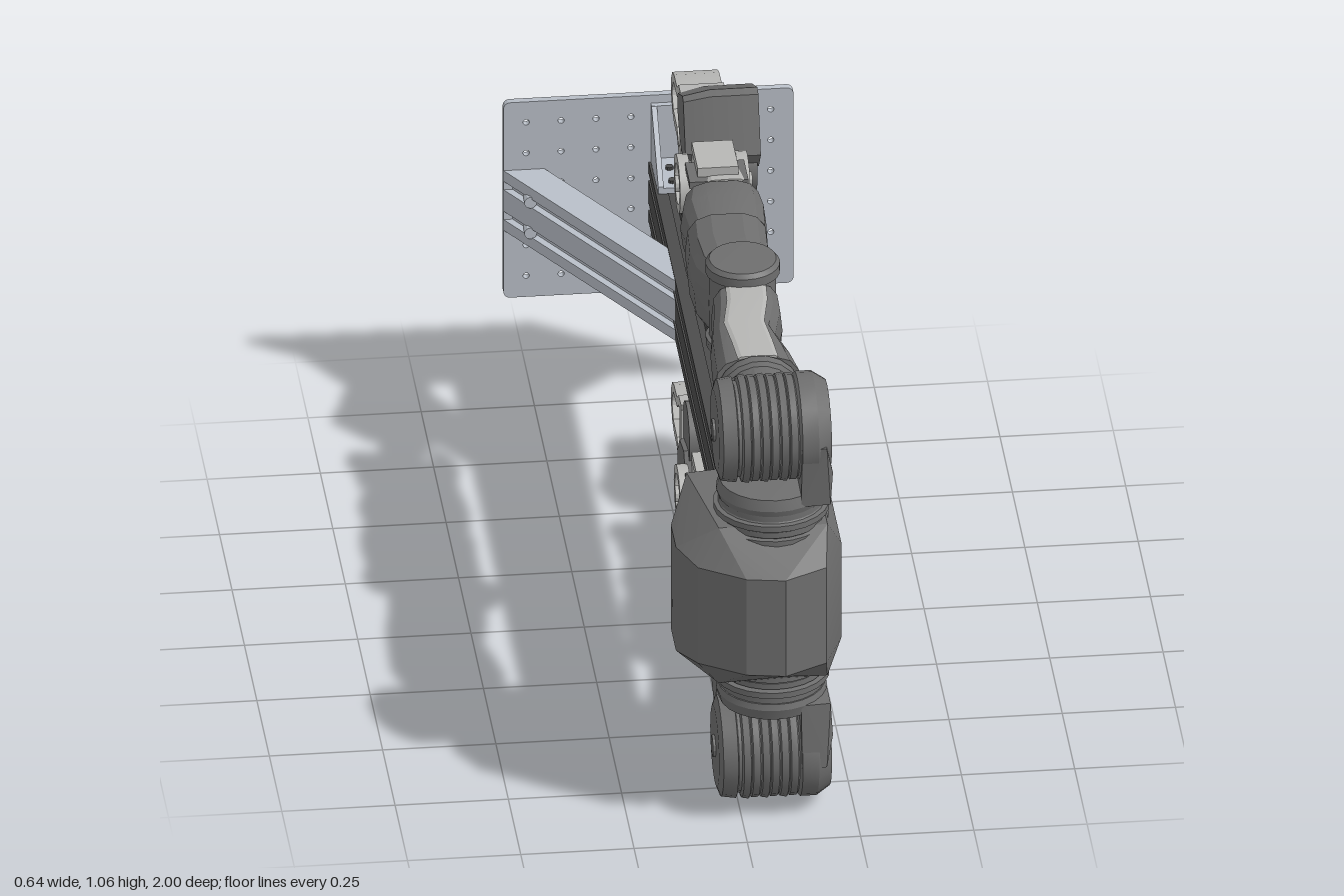
import * as THREE from 'three';
import { toCreasedNormals } from 'three/addons/utils/BufferGeometryUtils.js';
import { ConvexGeometry } from 'three/addons/geometries/ConvexGeometry.js';

const MID = 0.5325; // height of the mirror plane between the two arms
const mat = (name, color) => Object.assign(new THREE.MeshStandardMaterial({ color }), { name });

// Loft of rounded-square rings along z; sections are [z, cx, cy, rx, ry], z ascending
function loft(sections, n = 14, power = 0.65) {
  const pos = [], idx = [];
  const sq = (v) => Math.sign(v) * Math.abs(v) ** power;
  for (const [z, cx, cy, rx, ry] of sections)
    for (let j = 0; j < n; j++) {
      const a = (j / n) * Math.PI * 2;
      pos.push(cx + rx * sq(Math.cos(a)), cy + ry * sq(Math.sin(a)), z);
    }
  const last = sections.length - 1;
  for (let i = 0; i < last; i++)
    for (let j = 0; j < n; j++) {
      const a = i * n + j, b = i * n + ((j + 1) % n);
      idx.push(a, b, b + n, a, b + n, a + n);
    }
  for (let j = 1; j < n - 1; j++) {
    idx.push(0, j + 1, j);
    idx.push(last * n, last * n + j, last * n + j + 1);
  }
  const g = new THREE.BufferGeometry();
  g.setAttribute('position', new THREE.Float32BufferAttribute(pos, 3));
  g.setIndex(idx);
  return g;
}

const lathe = (pts, n = 24) => new THREE.LatheGeometry(pts.map((p) => new THREE.Vector2(...p)), n);
const box = (w, h, d, x, y, z) => new THREE.BoxGeometry(w, h, d).translate(x, y, z);
const polygon = (pts) => new THREE.Shape(pts.map((p) => new THREE.Vector2(...p)));
const extrude = (shape, depth) => new THREE.ExtrudeGeometry(shape, { depth, bevelEnabled: false, curveSegments: 10 });
const hull = (pts) => new ConvexGeometry(pts.map((p) => new THREE.Vector3(...p)));

// Adds a mesh; flip = true mirrors it in y and keeps its faces outward
function add(group, name, geometry, material, flip = false) {
  const g = geometry.index ? geometry.toNonIndexed() : geometry.clone();
  if (flip) {
    const p = g.attributes.position;
    for (let i = 0; i < p.count; i += 3) {
      const v = [0, 2, 1].map((k) => [p.getX(i + k), -p.getY(i + k), p.getZ(i + k)]);
      v.forEach((c, k) => p.setXYZ(i + k, ...c));
    }
  }
  const mesh = new THREE.Mesh(toCreasedNormals(g, 0.35), material);
  mesh.name = name;
  group.add(mesh);
  return mesh;
}

// Square beam profile with two slots on every side
function slottedSquare(h) {
  const pts = [];
  const side = [[-h, -h]];
  for (const c of [-h / 2, h / 2])
    side.push([c - 0.009, -h], [c - 0.009, -h + 0.024], [c + 0.009, -h + 0.024], [c + 0.009, -h]);
  for (let k = 0; k < 4; k++)
    for (const [x, y] of side) {
      const c = [1, 0, -1, 0][k], s = [0, 1, 0, -1][k];
      pts.push([x * c - y * s, x * s + y * c]);
    }
  return polygon(pts);
}

// One arm, drawn above the mirror plane; flip builds the lower one
function buildArm(flip, M) {
  const arm = new THREE.Group();
  arm.name = flip ? 'lowerArm' : 'upperArm';
  const put = (name, g, m = M.shell) => add(arm, name, g, m, flip);
  const Y = 0.39, X = 0.065;

  // ribbed neck
  const neck = [[0, 0.14]];
  [0.118, 0.126, 0.12, 0.128, 0.116].forEach((r, i) => {
    const y = 0.145 + i * 0.019;
    neck.push([r, y], [r, y + 0.014], [r - 0.01, y + 0.016]);
  });
  neck.push([0, 0.24]);
  put('neck', lathe(neck).translate(0.075, 0, 0.8));

  // shoulder drum lying across, with wrapped ribs in the middle
  const drum = [[0, -0.05], [0.09, -0.05], [0.112, -0.042], [0.117, -0.01], [0.106, -0.007], [0.106, 0]];
  for (let i = 0; i < 6; i++) drum.push([0.117, 0.003 + i * 0.021], [0.12 - 0.003 * (i % 2), 0.018 + i * 0.021], [0.113, 0.021 + i * 0.021]);
  drum.push([0.12, 0.132], [0.12, 0.168], [0.1, 0.198], [0.03, 0.203], [0, 0.203]);
  put('shoulder', lathe(drum).rotateZ(-Math.PI / 2).translate(0, 0.397, 0.8));
  const bracket = [];
  for (const z of [-1, 1])
    bracket.push([0.13, 0.25, 0.8 + z * 0.105], [0.195, 0.25, 0.8 + z * 0.1], [0.13, 0.4, 0.8 + z * 0.118],
      [0.185, 0.4, 0.8 + z * 0.118], [0.2, 0.33, 0.8 + z * 0.1]);
  put('shoulderBracket', hull(bracket));
  put('shoulderCollar', lathe([[0, 0.236], [0.118, 0.236], [0.122, 0.25], [0.115, 0.275], [0, 0.285]]).translate(0.075, 0, 0.8));
  put('shoulderHub', new THREE.CylinderGeometry(0.025, 0.025, 0.012, 12).rotateZ(Math.PI / 2).translate(-0.05, 0.397, 0.8));

  // upper arm with a pale strip on top
  put('armCollar', loft([[0.625, X, Y, 0.085, 0.085], [0.635, X, Y, 0.095, 0.095], [0.66, X, Y, 0.095, 0.095],
    [0.665, X, Y, 0.085, 0.085], [0.74, X, Y, 0.085, 0.09]], 18, 1));
  const upper = [[0.28, 0.075, Y, 0.075, 0.078], [0.36, 0.07, Y, 0.078, 0.083], [0.46, 0.052, Y, 0.074, 0.085],
    [0.55, 0.06, Y, 0.088, 0.086], [0.625, 0.065, Y, 0.096, 0.085]];
  put('upperArmShell', loft(upper));
  const top = flip ? -1 : 1;
  const strip = (rows, w) => loft(rows.map(([z, x, y, , ry]) => [z, x, y + top * (ry - 0.001), w, 0.005]), 8);
  put('upperArmStrip', strip(upper, 0.045), M.pale);

  // elbow: upright drum with caps, and its outgoing block
  put('elbow', lathe([[0, 0.28], [0.07, 0.28], [0.08, 0.287], [0.082, 0.31], [0.074, 0.314], [0.074, 0.465],
    [0.082, 0.47], [0.082, 0.492], [0.074, 0.502], [0, 0.505]]).translate(0.075, 0, 0.225));
  put('elbowBlock', loft([[-0.02, 0.065, Y, 0.082, 0.085], [-0.01, 0.065, Y, 0.092, 0.094], [0.08, 0.06, Y, 0.092, 0.097],
    [0.16, 0.062, Y, 0.088, 0.1], [0.22, 0.07, Y, 0.07, 0.1]]));

  // forearm
  const fore = [[-0.26, 0.08, Y, 0.05, 0.05], [-0.205, 0.08, Y, 0.064, 0.066], [-0.19, 0.075, Y, 0.085, 0.075],
    [-0.12, 0.07, Y, 0.095, 0.083], [-0.03, 0.07, Y, 0.088, 0.08]];
  put('forearm', loft(fore));
  put('forearmJoint', new THREE.CylinderGeometry(0.075, 0.075, 0.04, 18).rotateX(Math.PI / 2).translate(0.067, Y, -0.022));
  put('wristStrip', strip([[-0.34, 0.09, Y, 0, 0.056], [-0.2, 0.085, Y, 0, 0.068]], 0.04), M.pale);

  // open wrist rings, yoke tabs and drive rod
  for (const x of [-0.01, 0.12]) {
    const ring = lathe([[0.046, 0], [0.066, 0], [0.066, 0.025], [0.046, 0.025], [0.046, 0]]);
    put('wristRing', ring.rotateZ(-Math.PI / 2).translate(x, Y, -0.32), M.pale);
  }
  for (const s of [-1, 1]) {
    put('yokeTab', box(0.09, 0.022, 0.12, 0.07, Y + s * 0.078, -0.285), M.pale);
    put('yokeSide', box(0.13, 0.016, 0.09, 0.07, Y + s * 0.058, -0.25));
  }
  put('wristRod', box(0.07, 0.034, 0.17, 0.07, Y, -0.355), M.pale);
  put('wristPin', new THREE.CylinderGeometry(0.018, 0.018, 0.17, 12).rotateZ(Math.PI / 2).translate(0.07, Y, -0.32), M.pale);

  // hand: motor disc and a tilted housing
  put('handMotor', new THREE.CylinderGeometry(0.07, 0.07, 0.15, 20).rotateZ(Math.PI / 2).translate(0.105, 0.338, -0.5));
  const hand = [];
  for (const [x, k] of [[0.02, 0.85], [0.08, 1], [0.185, 1]])
    for (const [z, y] of [[-0.41, 0.4], [-0.46, 0.525], [-0.48, 0.532], [-0.59, 0.48], [-0.6, 0.43], [-0.55, 0.37], [-0.45, 0.35]])
      hand.push([x, 0.43 + (y - 0.43) * k, -0.51 + (z + 0.51) * k]);
  put('handHousing', hull(hand));

  // gripper: two fingers closing in a rounded loop
  const half = [[-0.56, 0.088], [-0.61, 0.085], [-0.64, 0.062], [-0.7, 0.06], [-0.735, 0.048], [-0.755, 0.024]];
  const loop = [...half.map(([z, y]) => [-z, y]), [0.76, 0], ...half.map(([z, y]) => [-z, -y]).reverse()];
  const inner = half.map(([z, y]) => [-z - (y < 0.05 ? 0.02 : 0), y - (y < 0.05 ? 0.014 : 0.024)]);
  const finger = polygon([...loop, ...inner.map(([z, y]) => [z, -y]), [0.738, 0], ...inner.slice().reverse()]);
  put('gripper', extrude(finger, 0.1).rotateY(Math.PI / 2).translate(0.025, Y, 0), M.pale);
  put('gripperBase', box(0.1, 0.15, 0.03, 0.075, Y, -0.572), M.pale);
  arm.position.y = MID;
  return arm;
}

export function createModel() {
  const model = new THREE.Group();
  model.name = 'twoArmRobot';
  const M = {
    shell: mat('dark grey shell', 0x6e6e6e),
    beam: mat('charcoal beam', 0x4c4c4c),
    steel: mat('blue grey metal', 0xb9bfc8),
    pale: mat('pale grey', 0xb6b6b4),
  };

  // perforated wall plate with rounded corners
  const w = 0.32, h = 0.245, r = 0.015;
  const plate = new THREE.Shape();
  plate.moveTo(-w + r, -h);
  for (const [sx, sy, a] of [[1, -1, -0.5], [1, 1, 0], [-1, 1, 0.5], [-1, -1, 1]])
    plate.absarc(sx * (w - r), sy * (h - r), r, a * Math.PI, (a + 0.5) * Math.PI);
  for (let i = 0; i < 8; i++)
    for (let j = 0; j < 6; j++)
      plate.holes.push(new THREE.Path().absarc(-0.27 + i * 0.0771, -0.192 + j * 0.0771, 0.007, 0, Math.PI * 2, true));
  add(model, 'wallPlate', extrude(plate, 0.017).translate(0, 0.53, -1), M.steel);

  // slotted main beam
  add(model, 'mainBeam', extrude(slottedSquare(0.075), 1.66).translate(0.075, MID, -0.983), M.beam);

  // slanted side brace: three solid layers around a thinner core
  const brace = (inset) => polygon([[-0.32 + inset, 0.983], [0, 0.45 + inset * 1.6], [0, 0.6 - inset * 1.6], [-0.23 - inset, 0.983]]);
  for (const [y, d, inset] of [[0.455, 0.027, 0], [0.503, 0.054, 0], [0.578, 0.027, 0], [0.46, 0.14, 0.02]])
    add(model, 'sideBrace', extrude(brace(inset), d).rotateX(-Math.PI / 2).translate(0, y, 0), M.steel);
  for (const y of [0.493, 0.57])
    add(model, 'braceBolt', new THREE.CylinderGeometry(0.014, 0.014, 0.03, 12).rotateX(Math.PI / 2).translate(-0.27, y, -0.91), M.steel);

  // ribbed angle brackets above and below the beam
  for (const flip of [false, true]) {
    const bracket = new THREE.Group();
    bracket.name = flip ? 'lowerBracket' : 'upperBracket';
    bracket.position.y = MID;
    add(bracket, 'bracketFoot', box(0.14, 0.014, 0.15, 0.075, 0.084, -0.908), M.steel, flip);
    add(bracket, 'bracketBack', box(0.14, 0.145, 0.014, 0.075, 0.15, -0.976), M.steel, flip);
    for (const x of [0.005, 0.069, 0.133]) {
      const rib = polygon([[0.833, 0.08], [0.983, 0.08], [0.983, 0.222], [0.968, 0.222], [0.833, 0.095]]);
      add(bracket, 'bracketRib', extrude(rib, 0.012).rotateY(Math.PI / 2).translate(x, 0, 0), M.steel, flip);
    }
    for (const x of [0.039, 0.107])
      for (const z of [-0.86, -0.92])
        add(bracket, 'bracketBolt', new THREE.CylinderGeometry(0.009, 0.009, 0.008, 10).translate(x, 0.094, z), M.beam, flip);
    model.add(bracket);
  }

  // faceted torso
  const torso = [];
  for (const s of [-1, 1])
    for (const [x, y, z] of [[-0.14, 0.13, 0.84], [-0.14, 0.13, 0.74], [-0.09, 0.18, 0.6], [-0.05, 0.195, 0.88], [0.19, 0.195, 0.585],
      [0.19, 0.19, 0.88], [0.225, 0.12, 0.64], [0.225, 0.12, 0.84], [0.18, 0.12, 0.95], [0.085, 0.12, 1], [0, 0.12, 0.985], [-0.1, 0.12, 0.92]])
      torso.push([x, MID + s * y, z]);
  add(model, 'torso', hull(torso), M.shell);

  model.add(buildArm(false, M), buildArm(true, M));
  return model;
}
